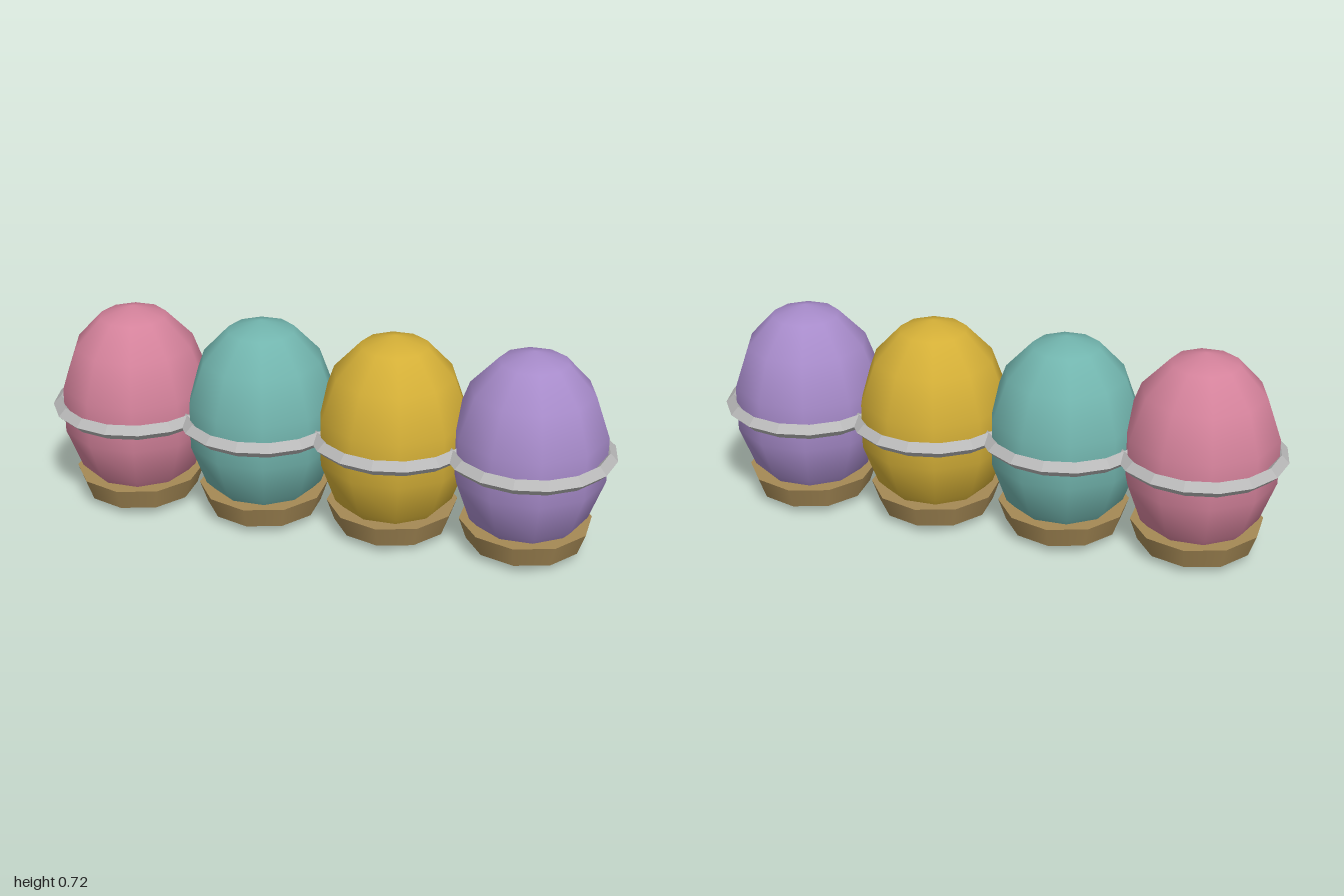
import * as THREE from 'three';

const paint = (name, color, extra = {}) => {
  const m = new THREE.MeshStandardMaterial({ color, ...extra });
  m.name = name;
  return m;
};

export function createModel() {
  const model = new THREE.Group();
  model.name = 'eggRow';

  const shells = [
    paint('pink', 0xd4829b),
    paint('teal', 0x72b5ae),
    paint('gold', 0xd4af37),
    paint('lilac', 0xa78bca),
  ];
  const silver = paint('silver', 0xb8b8b8, { flatShading: true });
  const bronze = paint('bronze', 0xa58955);

  // Shared shapes: tall egg, four-sided ring, tapered stand
  const eggGeo = new THREE.SphereGeometry(0.269, 10, 7).scale(1, 0.361 / 0.269, 1);
  const ringGeo = new THREE.TorusGeometry(0.269, 0.027, 4, 16).rotateX(Math.PI / 2);
  const standGeo = new THREE.CylinderGeometry(0.228, 0.201, 0.078, 10);

  const centreY = 0.364;
  const spacing = 0.4693;

  shells.forEach((shell, i) => {
    const unit = new THREE.Group();
    unit.name = `eggUnit${i + 1}`;
    unit.position.x = (i - 1.5) * spacing;

    const add = (name, geometry, material, y) => {
      const mesh = new THREE.Mesh(geometry, material);
      mesh.name = name;
      mesh.position.y = y;
      unit.add(mesh);
    };
    add('egg', eggGeo, shell, centreY);
    add('band', ringGeo, silver, centreY);
    add('stand', standGeo, bronze, 0.069);
    model.add(unit);
  });

  return model;
}
